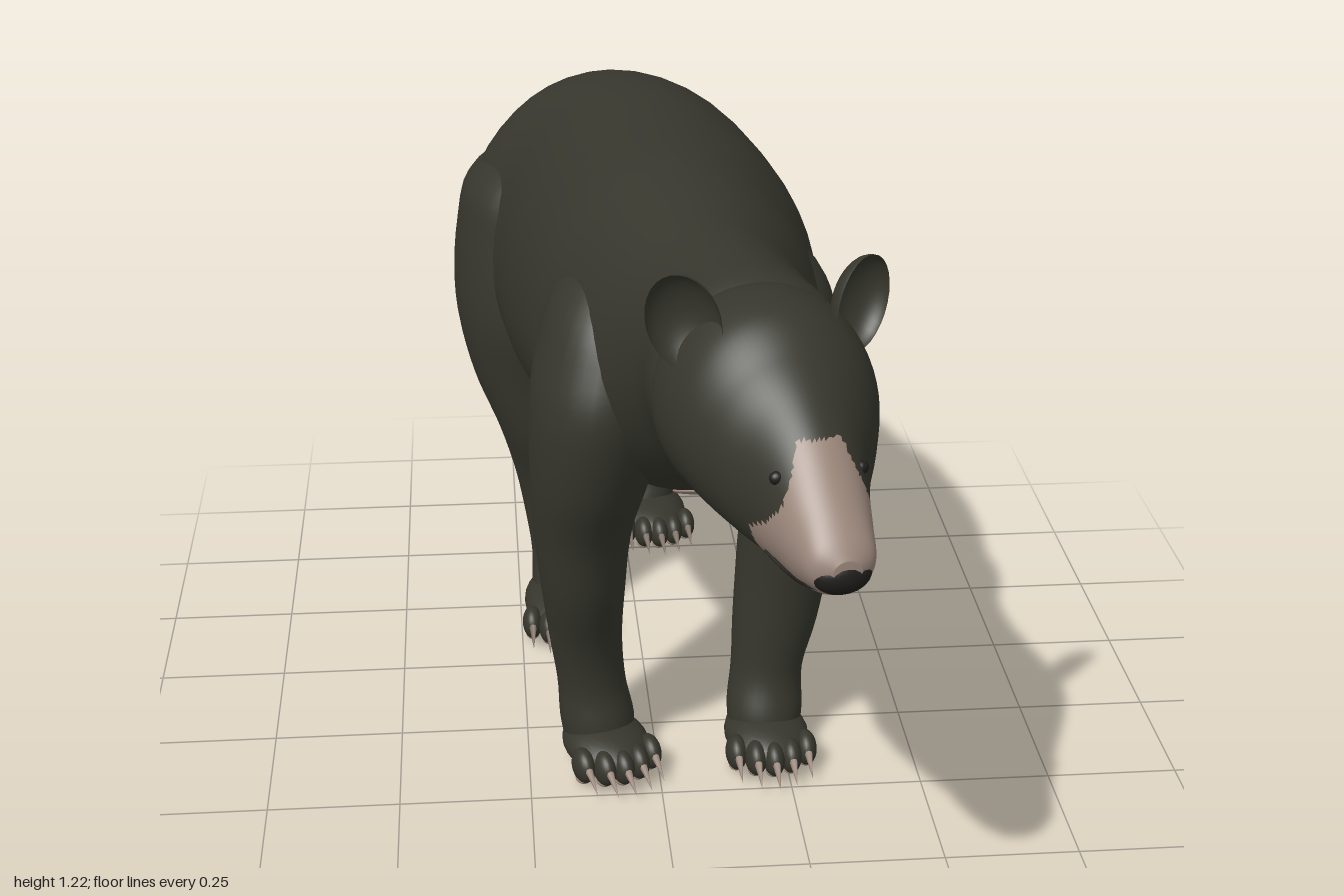
import * as THREE from 'three';

const mat = (name, color, side = THREE.FrontSide) => {
  const m = new THREE.MeshStandardMaterial({ color, side });
  m.name = name;
  return m;
};

// Catmull-Rom blend of whole section rows
function blend(rows, t) {
  const i = Math.min(Math.floor(t), rows.length - 2), f = t - i;
  const p = k => rows[Math.max(0, Math.min(rows.length - 1, k))];
  return rows[i].map((_, c) => {
    const a = p(i - 1)[c], b = p(i)[c], d = p(i + 1)[c], e = p(i + 2)[c];
    return b + 0.5 * f * (d - a + f * (2 * a - 5 * b + 4 * d - e + f * (3 * (b - d) + e - a)));
  });
}

// Loft along z through rows [z, cx, cy, rx, ryUp, ryDown]; pick() chooses a material per face
function loft(rows, steps = 5, n = 36, pick = null) {
  const pos = [], faces = [], count = (rows.length - 1) * steps + 1;
  for (let i = 0; i < count; i++) {
    const [z, cx, cy, rx, up, down] = blend(rows, i / steps);
    for (let j = 0; j < n; j++) {
      const a = (j / n) * Math.PI * 2, s = Math.sin(a);
      pos.push(cx + rx * Math.cos(a), cy + s * (s > 0 ? up : down), z);
    }
  }
  for (let i = 0; i < count - 1; i++) for (let j = 0; j < n; j++) {
    const a = i * n + j, b = i * n + (j + 1) % n;
    faces.push([a, b, b + n], [a, b + n, a + n]);
  }
  const first = rows[0], last = rows[rows.length - 1], c0 = count * n, end = (count - 1) * n;
  pos.push(first[1], first[2], first[0], last[1], last[2], last[0]);
  for (let j = 0; j < n; j++) {
    const k = (j + 1) % n;
    faces.push([c0, k, j], [c0 + 1, end + j, end + k]);
  }
  const g = new THREE.BufferGeometry();
  g.setAttribute('position', new THREE.Float32BufferAttribute(pos, 3));
  if (pick) {
    const mid = (f, k) => (pos[f[0] * 3 + k] + pos[f[1] * 3 + k] + pos[f[2] * 3 + k]) / 3;
    const sets = [[], []];
    faces.forEach(f => sets[pick(mid(f, 0), mid(f, 1), mid(f, 2))].push(f));
    g.setIndex(sets.flat(2));
    g.addGroup(0, sets[0].length * 3, 0);
    g.addGroup(sets[0].length * 3, sets[1].length * 3, 1);
  } else g.setIndex(faces.flat());
  g.computeVertexNormals();
  return g;
}

export function createModel() {
  const fur = mat('dark fur', 0x36362d);
  const earFur = mat('ear fur', 0x36362d, THREE.DoubleSide);
  const tan = mat('tan skin', 0x9b877b);
  const black = mat('black nose', 0x1f1e1b);
  const claw = mat('claw', 0x7d6f65);
  const bear = new THREE.Group();
  bear.name = 'bear';

  const add = (parent, name, geo, material, p = [0, 0, 0], r = [0, 0, 0], s = [1, 1, 1]) => {
    const m = new THREE.Mesh(geo, material);
    m.name = name;
    m.position.set(...p);
    m.rotation.set(...r);
    m.scale.set(...s);
    parent.add(m);
    return m;
  };
  const ball = new THREE.SphereGeometry(1, 24, 16);

  // Torso and neck, rump to nape
  add(bear, 'torso', loft([
    [-0.925, -0.07, 0.82, 0.05, 0.05, 0.05],
    [-0.90, -0.06, 0.82, 0.15, 0.115, 0.13],
    [-0.82, -0.045, 0.80, 0.235, 0.205, 0.18],
    [-0.72, -0.045, 0.79, 0.285, 0.30, 0.21],
    [-0.58, -0.05, 0.80, 0.30, 0.385, 0.23],
    [-0.42, 0.00, 0.82, 0.295, 0.395, 0.29],
    [-0.20, 0.03, 0.84, 0.30, 0.37, 0.30],
    [0.00, 0.04, 0.86, 0.275, 0.345, 0.28],
    [0.12, 0.055, 0.87, 0.25, 0.325, 0.28],
    [0.25, 0.07, 0.88, 0.215, 0.30, 0.23],
    [0.35, 0.09, 0.92, 0.185, 0.255, 0.21],
    [0.45, 0.11, 0.97, 0.168, 0.205, 0.20],
    [0.55, 0.125, 0.985, 0.17, 0.187, 0.18],
    [0.65, 0.13, 0.985, 0.13, 0.14, 0.14],
  ], 5, 48), fur);
  add(bear, 'chestPatch', ball, tan, [0.07, 0.61, 0.17], [-0.43, 0, 0], [0.046, 0.008, 0.055]);
  add(bear, 'tail', new THREE.CapsuleGeometry(0.032, 0.10, 8, 16), fur, [-0.12, 0.805, -0.908], [0.05, 0, 0]);

  // Head, turned a little to its left
  const head = new THREE.Group();
  head.name = 'head';
  head.position.set(0.135, 0, 0.62);
  head.rotation.y = 0.2;
  bear.add(head);
  const isMuzzle = (x, y, z) =>
    (y < 1.035 && z > 0.19 + (y - 0.8) * 0.15 && Math.abs(x) < 0.034 + (1.035 - y) * 0.4 ? 1 : 0);
  add(head, 'skullAndMuzzle', loft([
    [-0.15, 0, 0.98, 0.14, 0.15, 0.15],
    [-0.05, 0, 0.985, 0.176, 0.187, 0.18],
    [0.05, 0, 0.98, 0.17, 0.187, 0.175],
    [0.13, 0, 0.96, 0.139, 0.16, 0.16],
    [0.19, 0, 0.935, 0.107, 0.145, 0.135],
    [0.25, 0, 0.915, 0.083, 0.118, 0.113],
    [0.31, 0, 0.895, 0.067, 0.08, 0.085],
    [0.36, 0, 0.882, 0.052, 0.045, 0.05],
    [0.383, 0, 0.88, 0.022, 0.018, 0.02],
  ], 10, 72, isMuzzle), [fur, tan]);
  add(head, 'nose', ball, black, [0, 0.866, 0.357], [0.3, 0, 0], [0.047, 0.034, 0.03]);
  const lips = new THREE.CatmullRomCurve3([
    [-0.073, 0.845, 0.22], [-0.052, 0.83, 0.28], [-0.041, 0.84, 0.34], [0, 0.838, 0.366],
    [0.041, 0.84, 0.34], [0.052, 0.83, 0.28], [0.073, 0.845, 0.22],
  ].map(p => new THREE.Vector3(...p)));
  add(head, 'mouthLine', new THREE.TubeGeometry(lips, 40, 0.003, 6), black);
  const cup = new THREE.SphereGeometry(1, 28, 14, 0, Math.PI * 2, 0, Math.PI * 0.5).rotateX(-Math.PI / 2);
  for (const s of [-1, 1]) {
    add(head, s > 0 ? 'leftEar' : 'rightEar', cup, earFur,
      [s * 0.148, 1.15, 0.025], [0, s * 0.5, -s * 0.25], [0.06, 0.08, 0.045]);
    add(head, s > 0 ? 'leftEye' : 'rightEye', ball, black, [s * 0.067, 0.98, 0.247], [0, 0, 0], [0.012, 0.011, 0.01]);
  }

  // Legs through rows [y, x, z, half width, half depth], top to bottom
  const leg = (name, rows) => add(bear, name, loft(
    rows.map(([y, x, z, w, d]) => [y, x, -z, w, d, d]).reverse(), 5, 32).rotateX(-Math.PI / 2), fur);
  leg('leftFrontLeg', [
    [1.11, 0.15, 0.04, 0.04, 0.06], [1.00, 0.19, 0.05, 0.11, 0.15], [0.90, 0.215, 0.065, 0.122, 0.175],
    [0.80, 0.23, 0.08, 0.125, 0.188],
    [0.66, 0.25, 0.07, 0.112, 0.165], [0.53, 0.255, 0.045, 0.09, 0.115], [0.40, 0.25, 0.04, 0.09, 0.098],
    [0.27, 0.235, 0.05, 0.082, 0.08], [0.17, 0.22, 0.06, 0.07, 0.07], [0.09, 0.215, 0.08, 0.074, 0.075],
    [0.02, 0.215, 0.09, 0.065, 0.07],
  ]);
  leg('rightFrontLeg', [
    [1.10, -0.04, 0.09, 0.04, 0.06], [1.00, -0.07, 0.12, 0.11, 0.15], [0.90, -0.095, 0.145, 0.122, 0.175],
    [0.80, -0.11, 0.16, 0.125, 0.18],
    [0.66, -0.125, 0.16, 0.112, 0.15], [0.53, -0.14, 0.14, 0.092, 0.115], [0.40, -0.14, 0.12, 0.08, 0.10],
    [0.27, -0.135, 0.09, 0.07, 0.08], [0.17, -0.125, 0.085, 0.066, 0.068], [0.09, -0.115, 0.09, 0.072, 0.075],
    [0.02, -0.11, 0.095, 0.065, 0.07],
  ]);
  leg('leftHindLeg', [
    [1.07, 0.04, -0.60, 0.05, 0.06], [0.98, 0.075, -0.66, 0.12, 0.14], [0.88, 0.095, -0.70, 0.15, 0.18],
    [0.75, 0.10, -0.73, 0.155, 0.195],
    [0.60, 0.095, -0.76, 0.14, 0.15], [0.48, 0.075, -0.775, 0.112, 0.115], [0.36, 0.07, -0.84, 0.088, 0.09],
    [0.25, 0.065, -0.88, 0.079, 0.068], [0.15, 0.055, -0.905, 0.073, 0.066], [0.08, 0.05, -0.905, 0.073, 0.085],
    [0.02, 0.05, -0.90, 0.06, 0.08],
  ]);
  leg('rightHindLeg', [
    [1.09, -0.10, -0.55, 0.06, 0.09], [0.99, -0.175, -0.57, 0.145, 0.19], [0.88, -0.20, -0.575, 0.158, 0.22],
    [0.72, -0.21, -0.56, 0.157, 0.22],
    [0.58, -0.20, -0.52, 0.137, 0.16], [0.45, -0.185, -0.50, 0.10, 0.122], [0.33, -0.165, -0.505, 0.087, 0.082],
    [0.22, -0.155, -0.505, 0.077, 0.067], [0.14, -0.15, -0.505, 0.072, 0.07], [0.07, -0.15, -0.49, 0.073, 0.085],
    [0.02, -0.15, -0.48, 0.065, 0.08],
  ]);

  // Paws with five toes, claws and pads
  const clawGeo = new THREE.ConeGeometry(0.011, 0.075, 8).rotateX(Math.PI / 2 + 0.5);
  const paw = (name, x, z, yaw, half, clawMat) => {
    const g = new THREE.Group();
    g.name = name;
    g.position.set(x, 0, z);
    g.rotation.y = yaw;
    bear.add(g);
    add(g, 'foot', ball, fur, [0, 0.05, 0], [0, 0, 0], [0.082, 0.044, half]);
    add(g, 'solePad', ball, tan, [0, 0.016, -0.01], [0, 0, 0], [0.06, 0.012, half * 0.8]);
    for (let i = -2; i <= 2; i++) {
      const tx = i * 0.034, tz = half - 0.02 - i * i * 0.008;
      add(g, 'toe', ball, fur, [tx, 0.045, tz], [0, 0, 0], [0.021, 0.034, 0.036]);
      add(g, 'toePad', ball, tan, [tx, 0.014, tz - 0.004], [0, 0, 0], [0.014, 0.009, 0.018]);
      add(g, 'claw', clawGeo, clawMat, [tx, 0.042, tz + 0.045]);
    }
  };
  paw('leftFrontPaw', 0.215, 0.12, 0.05, 0.11, tan);
  paw('rightFrontPaw', -0.1, 0.13, 0.3, 0.11, tan);
  paw('leftHindPaw', 0.06, -0.86, 0.12, 0.135, claw);
  paw('rightHindPaw', -0.16, -0.44, 0, 0.138, claw);

  return bear;
}
